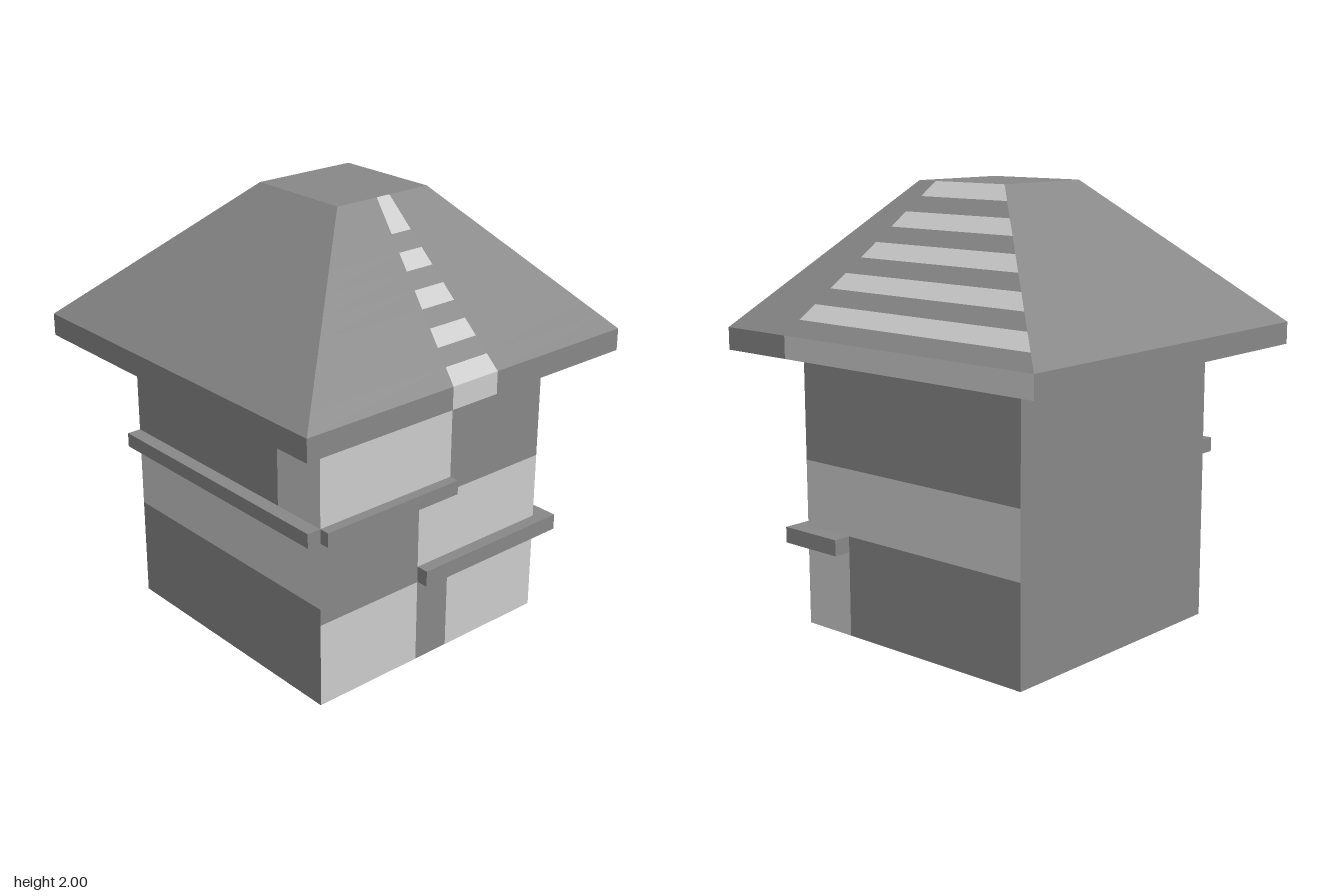
import * as THREE from 'three';

const light = new THREE.MeshStandardMaterial({ color: 0xcccccc, flatShading: true });
const dark = new THREE.MeshStandardMaterial({ color: 0x888888, flatShading: true });

// Body, eaves and roof extents
const W = 0.633, F = 0.663, B = -0.603;
const EAVE = 0.875, EAVE_Y = 1.27, ROOF_Y = 1.37, TOP_Y = 2;
const LOW = 0.46, HIGH = 0.765;

// One mesh from flat quads, corners anticlockwise seen from outside
function quadMesh(name, material, quads) {
  const pos = quads.flatMap(([a, b, c, d]) => [a, b, c, a, c, d].flat());
  const geo = new THREE.BufferGeometry();
  geo.setAttribute('position', new THREE.Float32BufferAttribute(pos, 3));
  geo.computeVertexNormals();
  const mesh = new THREE.Mesh(geo, material);
  mesh.name = name;
  return mesh;
}

// Collects dark and light quads of one part
function paintedPart(name, fill) {
  const d = [], l = [];
  fill((isLight, quad) => (isLight ? l : d).push(quad));
  const group = new THREE.Group();
  group.name = name;
  if (d.length) group.add(quadMesh(name + 'Dark', dark, d));
  if (l.length) group.add(quadMesh(name + 'Light', light, l));
  return group;
}

// Upright panels facing front, back and the two sides
const front = (x0, x1, y0, y1, z) => [[x0, y0, z], [x1, y0, z], [x1, y1, z], [x0, y1, z]];
const back = (x0, x1, y0, y1, z) => front(x1, x0, y0, y1, z);
const plusX = (z0, z1, y0, y1, x) => [[x, y0, z1], [x, y0, z0], [x, y1, z0], [x, y1, z1]];
const minusX = (z0, z1, y0, y1, x) => plusX(z1, z0, y0, y1, x);
// Level panels
const up = (x0, x1, z0, z1, y) => [[x0, y, z1], [x1, y, z1], [x1, y, z0], [x0, y, z0]];
const down = (x0, x1, z0, z1, y) => up(x1, x0, z0, z1, y);

function box(name, x0, x1, y0, y1, z0, z1) {
  const mesh = new THREE.Mesh(new THREE.BoxGeometry(x1 - x0, y1 - y0, z1 - z0), dark);
  mesh.position.set((x0 + x1) / 2, (y0 + y1) / 2, (z0 + z1) / 2);
  mesh.name = name;
  return mesh;
}

export function createModel() {
  const model = new THREE.Group();
  model.name = 'tower';

  // Walls with light and dark panels
  model.add(paintedPart('walls', (add) => {
    const D = 0.09, SZ = 0.395, M = 0.385;
    add(true, front(-W, -D, 0, M, F));
    add(false, front(-D, D, 0, M, F));
    add(true, front(D, W, 0, M, F));
    add(false, front(-W, -D, M, HIGH, F));
    add(true, front(-D, W, M, HIGH, F));
    add(true, front(-W, D, HIGH, EAVE_Y, F));
    add(false, front(D, W, HIGH, EAVE_Y, F));
    add(false, plusX(B, SZ, 0, LOW, W));
    add(true, plusX(SZ, F, 0, LOW, W));
    add(true, plusX(B, F, LOW, HIGH, W));
    add(false, plusX(B, F, HIGH, EAVE_Y, W));
    add(false, minusX(B, F, 0, LOW, -W));
    add(true, minusX(B, F, LOW, HIGH, -W));
    add(false, minusX(B, SZ, HIGH, EAVE_Y, -W));
    add(true, minusX(SZ, F, HIGH, EAVE_Y, -W));
    add(false, back(-W, W, 0, EAVE_Y, B));
    add(false, down(-W, W, B, F, 0));
  }));

  // Ledges wrapping the front corners
  model.add(box('upperLedgeFront', -W, 0.09, HIGH, 0.83, F, 0.71));
  model.add(box('upperLedgeSide', -0.698, -W, HIGH, 0.83, B, F));
  model.add(box('lowerLedgeFront', -0.09, 0.715, 0.387, LOW, F, 0.72));
  model.add(box('lowerLedgeSide', W, 0.715, 0.387, LOW, 0.395, F));

  // Eaves slab
  model.add(paintedPart('eaves', (add) => {
    const P = 0.125, S = 0.505, y = [EAVE_Y, ROOF_Y];
    add(false, front(-EAVE, -P, ...y, EAVE));
    add(true, front(-P, P, ...y, EAVE));
    add(false, front(P, EAVE, ...y, EAVE));
    add(true, plusX(-EAVE, S, ...y, EAVE));
    add(false, plusX(S, EAVE, ...y, EAVE));
    add(false, minusX(-EAVE, EAVE, ...y, -EAVE));
    add(false, back(-EAVE, EAVE, ...y, -EAVE));
    add(false, down(-EAVE, EAVE, -EAVE, EAVE, EAVE_Y));
  }));

  // Hipped roof with a flat top, striped on the front and one side
  model.add(paintedPart('roof', (add) => {
    const slope = (base, top) => (y) => base + (top - base) * (y - ROOF_Y) / (TOP_Y - ROOF_Y);
    const xr = slope(EAVE, 0.246), xl = (y) => -xr(y);
    const zf = slope(EAVE, 0.316), zb = slope(-EAVE, -0.178);
    const pr = slope(0.125, 0.035), pl = (y) => -pr(y);
    const sf = slope(0.505, 0.217);
    const onFront = (f, y) => [f(y), y, zf(y)];
    const onBack = (f, y) => [f(y), y, zb(y)];
    const onRight = (f, y) => [xr(y), y, f(y)];
    const onLeft = (f, y) => [xl(y), y, f(y)];
    const band = (at, l, r, y0, y1) => [at(l, y0), at(r, y0), at(r, y1), at(l, y1)];

    const n = 10, step = (TOP_Y - ROOF_Y) / n;
    for (let i = 0; i < n; i++) {
      const y0 = ROOF_Y + i * step, y1 = y0 + step;
      add(false, band(onFront, xl, pl, y0, y1));
      add(i % 2 === 0 || i === n - 1, band(onFront, pl, pr, y0, y1));
      add(false, band(onFront, pr, xr, y0, y1));
      add(false, band(onRight, zf, sf, y0, y1));
      add(i % 2 === 1, band(onRight, sf, zb, y0, y1));
    }
    add(false, band(onBack, xr, xl, ROOF_Y, TOP_Y));
    add(false, band(onLeft, zb, zf, ROOF_Y, TOP_Y));
    add(false, up(xl(TOP_Y), xr(TOP_Y), zb(TOP_Y), zf(TOP_Y), TOP_Y));
  }));

  return model;
}
